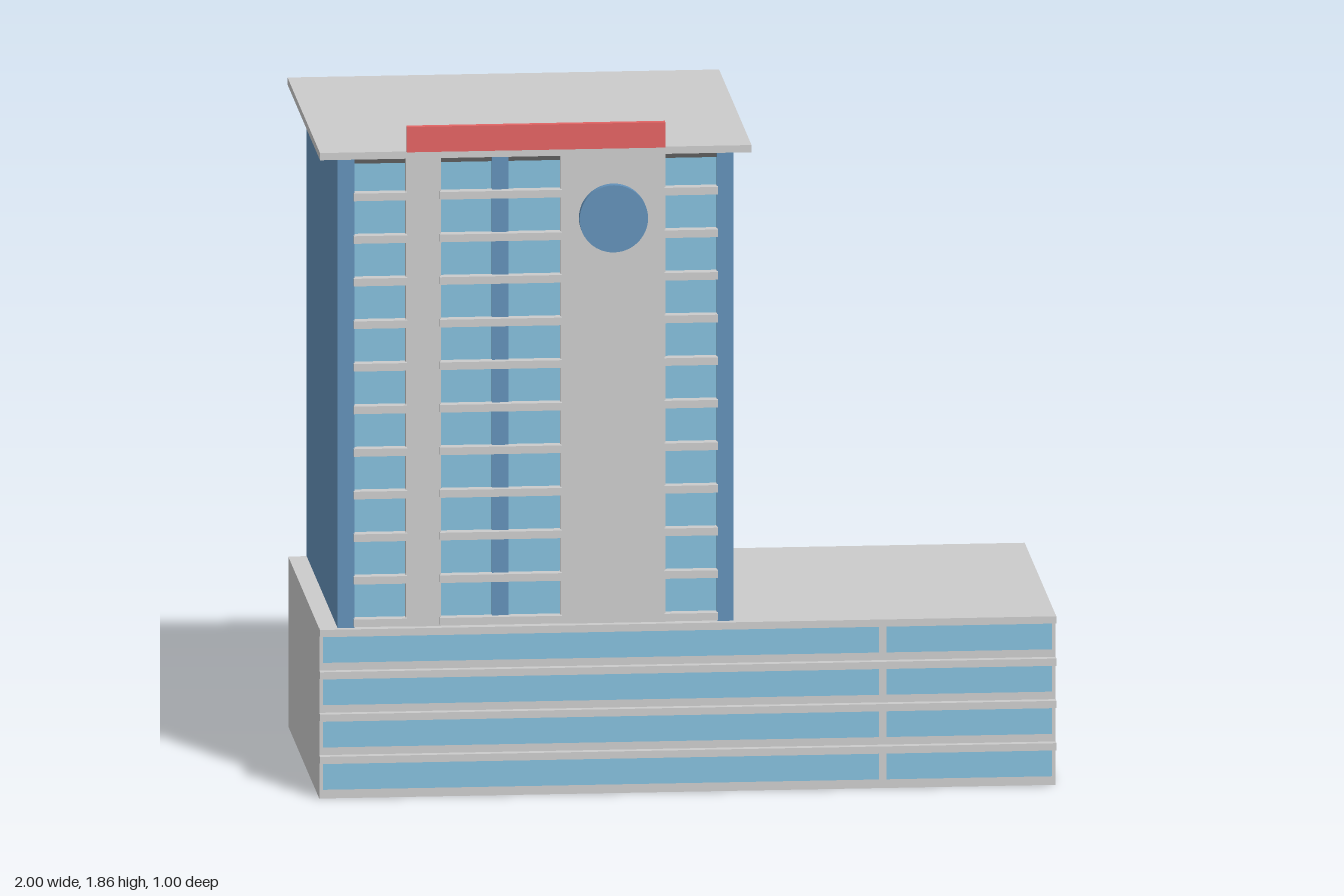
import * as THREE from 'three';

const material = (color) => new THREE.MeshStandardMaterial({ color });

export function createModel() {
  const model = new THREE.Group();
  const grey = material(0xcccccc);
  const glass = material(0x85bedb);
  const blue = material(0x6391b9);
  const red = material(0xe26363);
  const shadow = material(0x5c5c5c);

  // Box given by its two extents along each axis
  function box(name, mat, [x0, x1], [y0, y1], [z0, z1], parent = model) {
    const mesh = new THREE.Mesh(new THREE.BoxGeometry(x1 - x0, y1 - y0, z1 - z0), mat);
    mesh.position.set((x0 + x1) / 2, (y0 + y1) / 2, (z0 + z1) / 2);
    mesh.name = name;
    parent.add(mesh);
    return mesh;
  }

  // Podium with four storeys of ribbon windows and ledges on the front
  const podium = new THREE.Group();
  podium.name = 'podium';
  model.add(podium);
  box('podiumBody', grey, [-1, 1], [0, 0.47], [-0.475, 0.465], podium);
  for (let i = 0; i < 4; i++) {
    const y = 0.025 + i * 0.117;
    box('podiumWindowLong', glass, [-0.99, 0.52], [y, y + 0.08], [0.44, 0.47], podium);
    box('podiumWindowShort', glass, [0.54, 0.99], [y, y + 0.08], [0.44, 0.47], podium);
    box('podiumLedge', grey, [-1, 1], [y + 0.075, y + 0.095], [0.46, 0.488], podium);
  }

  // Tower: glazed core between solid end walls
  const tower = new THREE.Group();
  tower.name = 'tower';
  model.add(tower);
  const bottom = 0.47, top = 1.77;
  box('glazedCore', glass, [-0.91, 0.085], [bottom, 1.75], [-0.457, 0.447], tower);
  box('coreTop', shadow, [-0.91, 0.085], [1.75, top], [-0.457, 0.447], tower);
  box('rightEndWall', blue, [-0.95, -0.905], [bottom, top], [-0.475, 0.467], tower);
  box('leftEndWall', blue, [0.08, 0.125], [bottom, top], [-0.475, 0.467], tower);

  // Full-height strips reaching through to front and back
  box('narrowPier', grey, [-0.765, -0.67], [bottom, top], [-0.473, 0.465], tower);
  box('widePier', grey, [-0.345, -0.06], [bottom, top], [-0.473, 0.465], tower);
  box('mullion', blue, [-0.53, -0.485], [bottom, top], [-0.466, 0.457], tower);

  // Floor ledges in every window bay, on both faces
  const bays = [[-0.907, -0.762], [-0.673, -0.342], [-0.063, 0.082]];
  for (let floor = 0; floor < 11; floor++) {
    const y = 0.475 + floor * 0.1178;
    for (const bay of bays) {
      box('frontLedge', grey, bay, [y, y + 0.021], [0.44, 0.479], tower);
      box('backLedge', grey, bay, [y, y + 0.021], [-0.486, -0.45], tower);
    }
  }

  // Overhanging roof slab and the board on its front edge
  box('roof', grey, [-1, 0.172], [top, 1.79], [-0.497, 0.488]);
  box('roofBoard', red, [-0.765, -0.063], [1.79, 1.86], [0.48, 0.5]);

  // Round disc on the wide pier
  const disc = new THREE.Mesh(new THREE.CylinderGeometry(0.093, 0.093, 0.03, 48), blue);
  disc.name = 'roundDisc';
  disc.rotation.x = Math.PI / 2;
  disc.position.set(-0.202, 1.593, 0.473);
  model.add(disc);

  return model;
}
